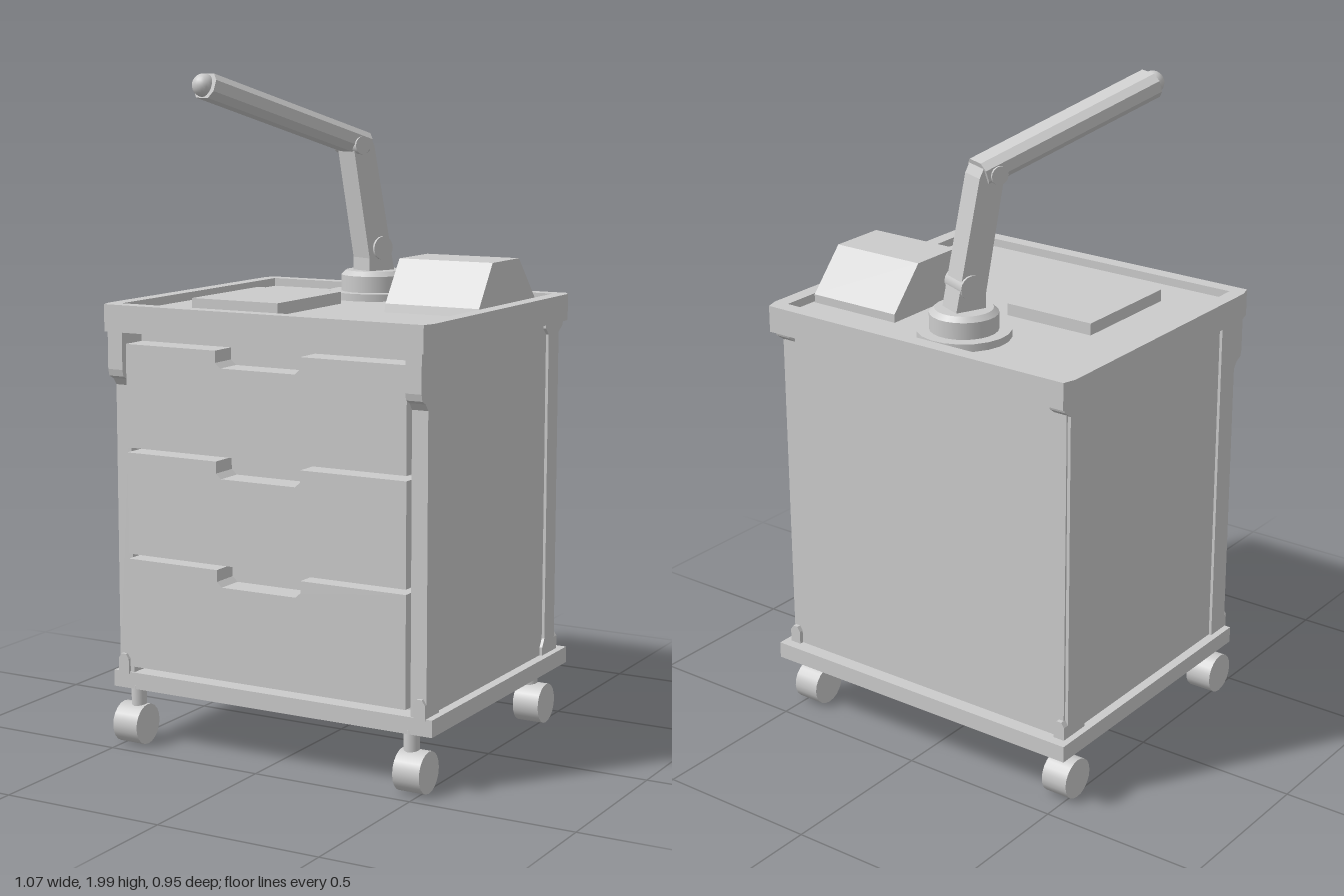
import * as THREE from 'three';

const material = new THREE.MeshStandardMaterial({ color: 0xcccccc });

function add(parent, name, geometry, x = 0, y = 0, z = 0) {
  const mesh = new THREE.Mesh(geometry, material);
  mesh.name = name;
  mesh.position.set(x, y, z);
  parent.add(mesh);
  return mesh;
}

// Box given by its minimum and maximum corners
function block(parent, name, [x0, y0, z0], [x1, y1, z1]) {
  return add(parent, name, new THREE.BoxGeometry(x1 - x0, y1 - y0, z1 - z0),
    (x0 + x1) / 2, (y0 + y1) / 2, (z0 + z1) / 2);
}

const shapeOf = (points) => new THREE.Shape(points.map(([a, b]) => new THREE.Vector2(a, b)));
const extrude = (shape, depth) => new THREE.ExtrudeGeometry(shape, { depth, bevelEnabled: false });

// Side profile of [z, y] points, extruded along x and centred on x = 0
function sideProfile(points, width) {
  return extrude(shapeOf(points), width).translate(0, 0, -width / 2).rotateY(-Math.PI / 2);
}

// Rectangle with slightly clipped corners
function clippedRect(w, d, cx, cz) {
  return [[-w + cx, -d], [w - cx, -d], [w, -d + cz], [w, d - cz],
    [w - cx, d], [-w + cx, d], [-w, d - cz], [-w, -d + cz]];
}

function buildCabinet(root) {
  const cabinet = new THREE.Group();
  cabinet.name = 'cabinet';
  root.add(cabinet);

  block(cabinet, 'basePlate', [-0.535, 0.175, -0.475], [0.535, 0.225, 0.435]);
  block(cabinet, 'carcass', [-0.47, 0.22, -0.425], [0.47, 1.27, 0.37]);
  block(cabinet, 'backPanel', [-0.505, 0.22, -0.432], [0.505, 1.26, -0.41]);

  // Tray top: rim frame around a sunken floor
  const rim = shapeOf(clippedRect(0.535, 0.475, 0.012, 0.04));
  rim.holes.push(new THREE.Path(
    [[-0.49, -0.43], [-0.49, 0.43], [0.49, 0.43], [0.49, -0.43]].map(p => new THREE.Vector2(...p))));
  add(cabinet, 'trayRim', extrude(rim, 0.08).rotateX(-Math.PI / 2), 0, 1.25, 0);
  block(cabinet, 'trayFloor', [-0.492, 1.252, -0.432], [0.492, 1.305, 0.432]);

  // Front posts carry a bracket at the top, rear posts flare at both ends
  const frontPost = [[0.355, 0.22], [0.43, 0.22], [0.43, 1.09], [0.445, 1.11], [0.465, 1.12],
    [0.47, 1.14], [0.47, 1.255], [0.34, 1.255], [0.355, 1.235]];
  const rearPost = [[-0.425, 0.22], [-0.34, 0.22], [-0.34, 0.25], [-0.355, 0.275], [-0.355, 1.215],
    [-0.335, 1.235], [-0.335, 1.255], [-0.462, 1.255], [-0.455, 1.235], [-0.427, 1.215]];
  for (const side of [-1, 1]) {
    add(cabinet, 'frontPost', sideProfile(frontPost, 0.05), side * 0.49);
    add(cabinet, 'rearPost', sideProfile(rearPost, 0.05), side * 0.49);
    add(cabinet, 'sidePanel', new THREE.BoxGeometry(0.04, 1.03, 0.76), side * 0.486, 0.74, 0);
    // Small lugs fixing the posts to the base
    for (const z of [-0.43, 0.425]) {
      const lug = [[-0.018, 0.22], [0.018, 0.22], [0.018, 0.265], [0.008, 0.28], [-0.008, 0.28], [-0.018, 0.265]];
      add(cabinet, 'postLug', extrude(shapeOf(lug), 0.03), side * 0.497, 0, z - 0.015);
    }
  }
}

// Drawer fronts with a notched finger pull in the top edge
function buildDrawers(root) {
  for (const [bottom, top] of [[0.25, 0.577], [0.592, 0.895], [0.91, 1.215]]) {
    const n = top - 0.05;
    const front = shapeOf([[-0.462, bottom], [0.462, bottom], [0.462, top], [0.125, top],
      [0.125, n + 0.015], [0.108, n], [-0.138, n], [-0.155, n + 0.015], [-0.155, top], [-0.462, top]]);
    add(root, 'drawerFront', extrude(front, 0.09), 0, 0, 0.365);
  }
}

function buildCasters(root) {
  for (const x of [-0.473, 0.473]) {
    for (const z of [0.413, -0.373]) {
      const caster = new THREE.Group();
      caster.name = 'caster';
      caster.position.set(x, 0, z);
      root.add(caster);
      add(caster, 'casterWheel', new THREE.CylinderGeometry(0.061, 0.061, 0.084, 20).rotateZ(Math.PI / 2), 0, 0.066, 0);
      add(caster, 'casterStem', new THREE.CylinderGeometry(0.023, 0.023, 0.09, 12), -0.012 * Math.sign(x), 0.14, 0);
    }
  }
}

// Jointed lamp; its local +z is the direction it reaches
function buildLamp(root) {
  const lamp = new THREE.Group();
  lamp.name = 'lamp';
  lamp.position.set(-0.045, 0, -0.283);
  lamp.rotation.y = -0.4;
  root.add(lamp);

  add(lamp, 'lampFoot', new THREE.CylinderGeometry(0.137, 0.137, 0.025, 20), 0, 1.315, 0);
  add(lamp, 'lampCollar', new THREE.CylinderGeometry(0.1, 0.1, 0.05, 24), 0, 1.352, 0);
  add(lamp, 'lampCollarBevel', new THREE.CylinderGeometry(0.085, 0.1, 0.014, 24), 0, 1.384, 0);

  add(lamp, 'lowerArm', sideProfile([[-0.05, 1.38], [0.048, 1.38], [0.048, 1.43],
    [0.108, 1.76], [0.095, 1.8], [0.045, 1.8], [0.03, 1.77]], 0.08));
  const pivot = (name, r, w, y, z) =>
    add(lamp, name, new THREE.CylinderGeometry(r, r, w, 16).rotateZ(Math.PI / 2), 0, y, z);
  pivot('lowerPivot', 0.036, 0.096, 1.46, 0);
  pivot('upperPivot', 0.027, 0.112, 1.775, 0.087);

  // Upper arm: chamfered bar with a bulb in its tip
  const upper = new THREE.Group();
  upper.name = 'upperArm';
  upper.position.set(0, 1.775, 0.05);
  upper.rotation.x = -0.308;
  lamp.add(upper);
  const section = shapeOf([[-0.03, -0.036], [0.03, -0.036], [0.05, -0.015], [0.05, 0.018],
    [0.03, 0.037], [-0.03, 0.037], [-0.05, 0.018], [-0.05, -0.015]]);
  add(upper, 'armBar', extrude(section, 0.6));
  add(upper, 'bulb', new THREE.SphereGeometry(0.034, 20, 14), 0, 0, 0.605);
}

function buildTrayItems(root) {
  block(root, 'notePad', [-0.335, 1.3, -0.072], [-0.042, 1.341, 0.296]);
  add(root, 'slopedBox', sideProfile([[0.065, 1.3], [0.058, 1.33], [-0.028, 1.455],
    [-0.205, 1.455], [-0.318, 1.33], [-0.318, 1.3]], 0.303), 0.332);
}

export function createModel() {
  const model = new THREE.Group();
  model.name = 'bedsideCart';
  buildCabinet(model);
  buildDrawers(model);
  buildCasters(model);
  buildLamp(model);
  buildTrayItems(model);
  return model;
}
